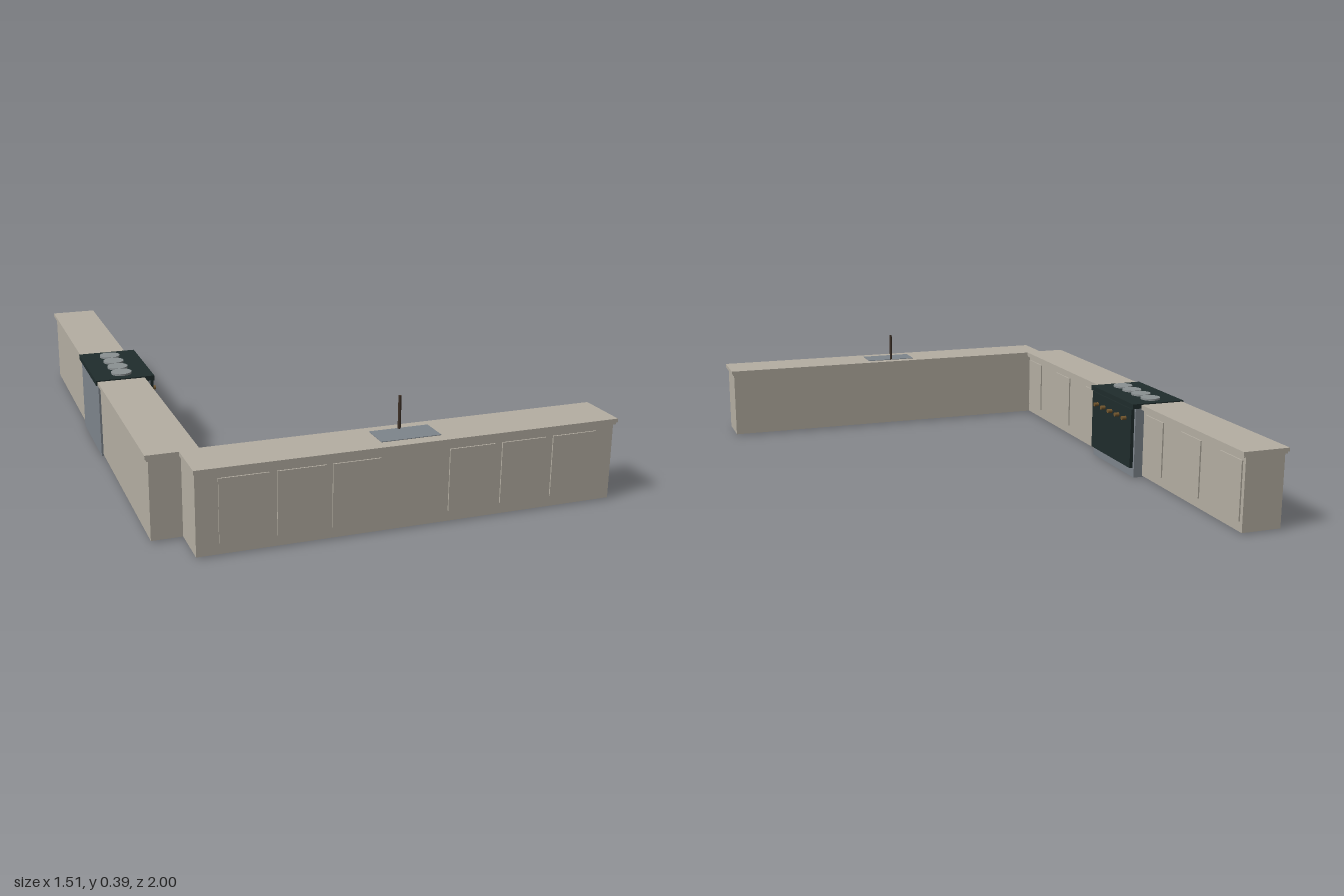
import * as THREE from 'three';

const mat = (name, color) => Object.assign(new THREE.MeshStandardMaterial({ color }), { name });

export function createModel() {
  const model = new THREE.Group();
  model.name = 'kitchenCounter';
  const stone = mat('warm grey', 0xb5afa3);
  const dark = mat('stove black', 0x1f2c2c);
  const steel = mat('steel grey', 0x7e858c);
  const plate = mat('burner grey', 0x8b9193);
  const brass = mat('knob brown', 0x76592f);
  const bronze = mat('faucet brown', 0x3f3228);

  // Box given by its minimum and maximum corners
  function box(name, m, [x0, x1], [y0, y1], [z0, z1], parent = model) {
    const mesh = new THREE.Mesh(new THREE.BoxGeometry(x1 - x0, y1 - y0, z1 - z0), m);
    mesh.position.set((x0 + x1) / 2, (y0 + y1) / 2, (z0 + z1) / 2);
    mesh.name = name;
    parent.add(mesh);
    return mesh;
  }
  function cylinder(name, m, r, h, x, y, z, sides) {
    const mesh = new THREE.Mesh(new THREE.CylinderGeometry(r, r, h, sides), m);
    mesh.position.set(x, y, z);
    mesh.name = name;
    model.add(mesh);
    return mesh;
  }

  // Cabinet carcasses
  box('sideCabinetBack', stone, [-0.745, -0.6], [0.005, 0.262], [-0.99, -0.293]);
  box('sideCabinetFront', stone, [-0.745, -0.6], [0.005, 0.262], [0.055, 0.835]);
  box('frontCabinet', stone, [-0.645, 0.745], [0.005, 0.262], [0.83, 0.99]);

  // Worktops: a narrow moulding below a wider slab
  const tops = [
    ['sideWorktopBack', [-0.755, -0.585], [-1, -0.293]],
    ['sideWorktopFront', [-0.755, -0.585], [0.055, 0.835]],
    ['frontWorktop', [-0.65, 0.755], [0.82, 1]],
  ];
  for (const [name, [x0, x1], [z0, z1]] of tops) {
    const zStart = name === 'sideWorktopFront' ? z0 : z0 + 0.004;
    const zEnd = name === 'frontWorktop' ? z1 - 0.004 : z1;
    box(name + 'Moulding', stone, [x0 + 0.004, x1 - 0.004], [0.26, 0.267], [zStart, zEnd]);
    box(name, stone, [x0, x1], [0.267, 0.28], [z0, z1]);
  }

  // Raised doors on the front run, then on the side run
  for (const x of [-0.575, -0.395, -0.22, 0.165, 0.345, 0.525])
    box('frontDoor', stone, [x, x + 0.155], [0.04, 0.245], [0.989, 0.995]);
  for (const z of [-0.975, -0.715, -0.45, 0.08, 0.375, 0.685])
    box('sideDoor', stone, [-0.601, -0.595], [0.04, 0.245], [z, z + 0.135]);

  // Stove: body, oven door, hob
  box('stoveBody', steel, [-0.752, -0.565], [0, 0.268], [-0.295, 0.058]);
  box('ovenDoor', dark, [-0.566, -0.552], [0.036, 0.262], [-0.285, 0.05]);
  box('hob', dark, [-0.76, -0.55], [0.266, 0.284], [-0.3, 0.06]);
  for (const z of [-0.233, -0.157, -0.081, -0.006])
    cylinder('burner', plate, 0.037, 0.01, -0.656, 0.286, z, 16);
  for (let i = 0; i < 5; i++) {
    const knob = cylinder('knob', brass, 0.008, 0.02, -0.545, 0.22, -0.24 + i * 0.06, 12);
    knob.rotation.z = Math.PI / 2;
  }

  // Sink and faucet
  box('sink', steel, [-0.05, 0.15], [0.278, 0.282], [0.857, 0.957]);
  cylinder('faucet', bronze, 0.005, 0.11, 0.05, 0.335, 0.862, 10);

  return model;
}
